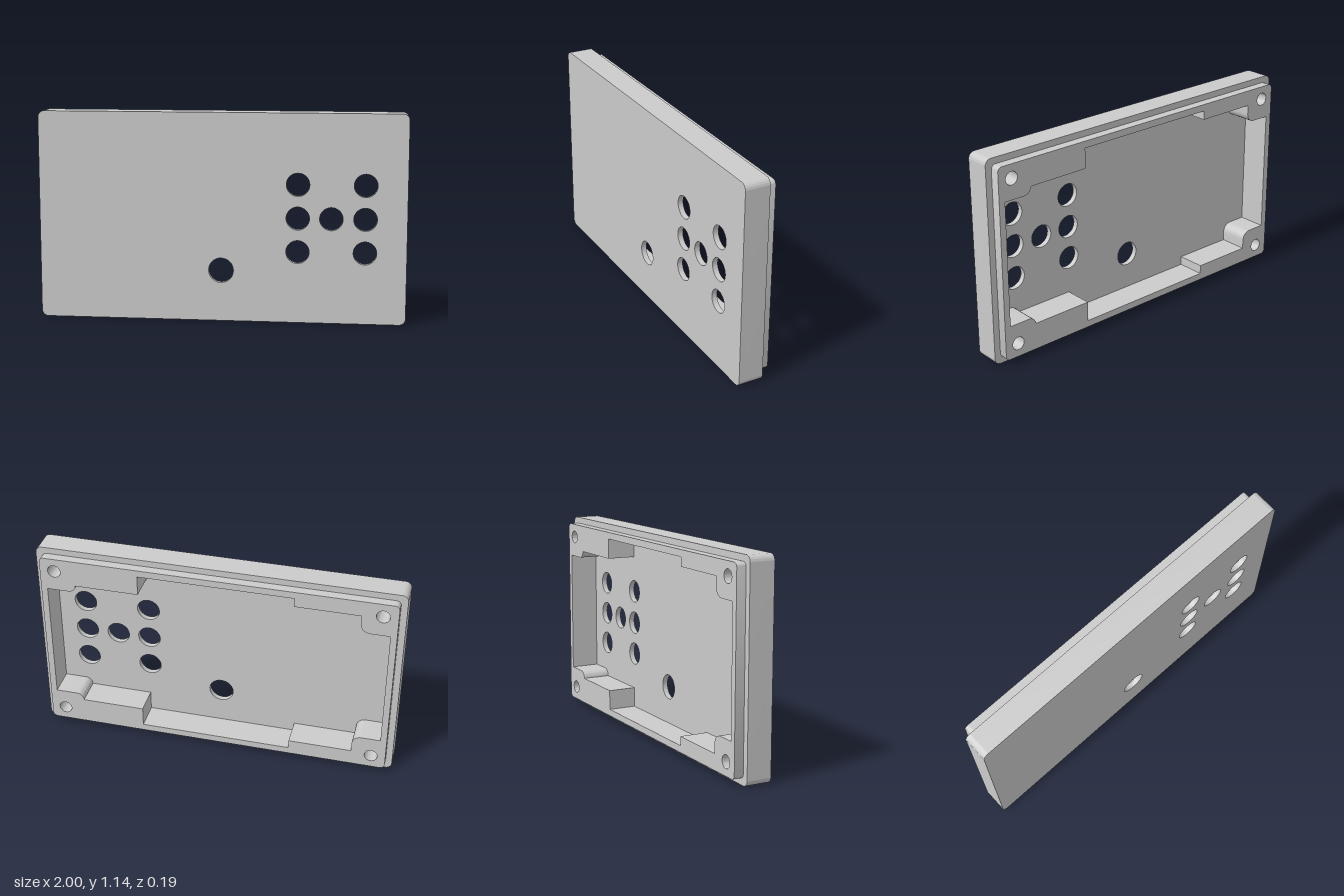
import * as THREE from 'three';
import { toCreasedNormals } from 'three/addons/utils/BufferGeometryUtils.js';

const MID_Y = 0.57;
const material = new THREE.MeshStandardMaterial({ color: 0xcccccc });

// Rounded rectangle centred on x = 0, y = MID_Y
function roundedRect(halfW, halfH, r) {
  const s = new THREE.Shape();
  const b = MID_Y - halfH, t = MID_Y + halfH;
  s.moveTo(-halfW + r, b);
  s.lineTo(halfW - r, b).absarc(halfW - r, b + r, r, -Math.PI / 2, 0);
  s.lineTo(halfW, t - r).absarc(halfW - r, t - r, r, 0, Math.PI / 2);
  s.lineTo(-halfW + r, t).absarc(-halfW + r, t - r, r, Math.PI / 2, Math.PI);
  s.lineTo(-halfW, b + r).absarc(-halfW + r, b + r, r, Math.PI, Math.PI * 1.5);
  return s;
}

function circle(x, y, r) {
  return new THREE.Path().absarc(x, y, r, 0, Math.PI * 2, true);
}

// Inner opening: the top half is traced, then mirrored for the bottom half.
// Each corner is [x, height above the middle, fillet radius].
function cavity() {
  const half = [
    [0.93, 0.345, 0], [0.77, 0.345, 0.04], [0.77, 0.385, 0], [0.42, 0.385, 0],
    [0.42, 0.497, 0], [-0.424, 0.497, 0], [-0.424, 0.447, 0], [-0.775, 0.447, 0],
    [-0.775, 0.345, 0.05], [-0.93, 0.345, 0],
  ];
  const corners = [...half, ...half.map(([x, y, r]) => [x, -y, r]).reverse()]
    .map(([x, y, r]) => ({ p: new THREE.Vector2(x, MID_Y + y), r }));
  const points = [];
  corners.forEach(({ p, r }, i) => {
    if (!r) { points.push(p); return; }
    const n = corners.length;
    const u = corners[(i + n - 1) % n].p.clone().sub(p).normalize().multiplyScalar(r);
    const v = corners[(i + 1) % n].p.clone().sub(p).normalize().multiplyScalar(r);
    for (let k = 0; k <= 8; k++) {
      const a = (k / 8) * Math.PI / 2;
      points.push(p.clone().addScaledVector(u, 1 - Math.sin(a)).addScaledVector(v, 1 - Math.cos(a)));
    }
  });
  return new THREE.Path(points);
}

function slab(name, shape, holes, zBack, zFront) {
  shape.holes.push(...holes);
  const geo = new THREE.ExtrudeGeometry(shape, {
    depth: zFront - zBack, bevelEnabled: false, curveSegments: 16,
  });
  geo.translate(0, 0, zBack);
  const mesh = new THREE.Mesh(toCreasedNormals(geo, 0.6), material);
  mesh.name = name;
  return mesh;
}

export function createModel() {
  const group = new THREE.Group();
  group.name = 'enclosureCover';

  // Button openings plus one larger opening near the bottom
  const buttons = [circle(0, 0.28, 0.068), circle(0.595, MID_Y + 0.003, 0.063)];
  for (const x of [0.415, 0.777])
    for (const dy of [-0.18, 0.003, 0.186]) buttons.push(circle(x, MID_Y + dy, 0.063));

  // Cavity and blind screw holes in the four corner posts
  const openings = () => {
    const list = [cavity()];
    for (const sx of [-1, 1])
      for (const sy of [-1, 1]) list.push(circle(sx * 0.885, MID_Y + sy * 0.46, 0.036));
    return list;
  };

  group.add(
    slab('frontPlate', roundedRect(1, 0.57, 0.035), buttons, 0.065, 0.095),
    slab('sideFrame', roundedRect(1, 0.57, 0.035), openings(), -0.043, 0.065),
    slab('rearLip', roundedRect(0.965, 0.535, 0.025), openings(), -0.095, -0.043),
  );
  return group;
}
